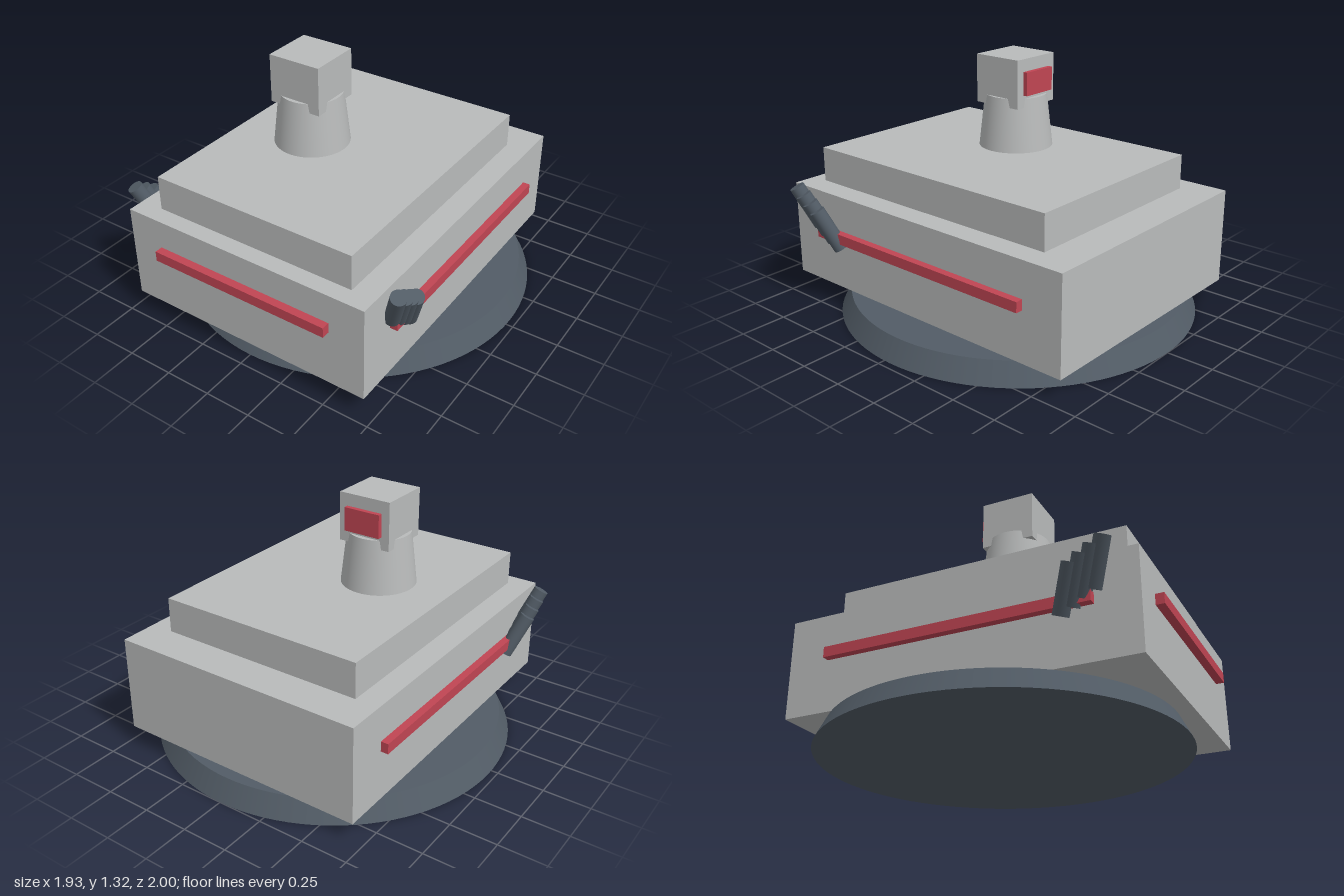
import * as THREE from 'three';

export function createModel() {
  const model = new THREE.Group();
  const material = (name, color) => {
    const m = new THREE.MeshStandardMaterial({ color });
    m.name = name;
    return m;
  };
  const grey = material('light grey', 0xb9bbbb);
  const red = material('red', 0xc04553);
  const slate = material('dark slate', 0x525c66);

  const add = (name, geometry, mat, x, y, z) => {
    const mesh = new THREE.Mesh(geometry, mat);
    mesh.name = name;
    mesh.position.set(x, y, z);
    model.add(mesh);
    return mesh;
  };
  // Box given by its lower and upper corners
  const box = (name, mat, [x0, y0, z0], [x1, y1, z1]) =>
    add(name, new THREE.BoxGeometry(x1 - x0, y1 - y0, z1 - z0), mat,
      (x0 + x1) / 2, (y0 + y1) / 2, (z0 + z1) / 2);

  // Round tapered base
  add('base', new THREE.CylinderGeometry(0.907, 0.963, 0.113, 96), slate, 0, 0.0565, -0.037);

  // Stepped hull
  box('hull', grey, [-0.703, 0.113, -0.88], [0.703, 0.632, 0.957]);
  box('upperDeck', grey, [-0.575, 0.632, -0.677], [0.575, 0.82, 0.865]);

  // Tapered mount with a square sensor head
  add('headMount', new THREE.CylinderGeometry(0.167, 0.2, 0.288, 48), grey, -0.17, 0.964, 0.13);
  box('head', grey, [-0.315, 1.06, -0.01], [-0.02, 1.32, 0.275]);
  box('headPanel', red, [-0.27, 1.128, -0.036], [-0.065, 1.253, -0.01]);

  // Red light strips
  box('frontStrip', red, [-0.51, 0.42, 0.957], [0.51, 0.475, 1.0]);
  for (const side of [1, -1]) {
    const [a, b] = [side * 0.703, side * 0.743].sort((p, q) => p - q);
    box(side > 0 ? 'leftStrip' : 'rightStrip', red, [a, 0.385, -0.655], [b, 0.44, 0.74]);

    // Row of four tilted launcher tubes, stepping down towards the back
    const up = new THREE.Vector3(0, 1, 0);
    const lean = new THREE.Vector3(side * 0.08, 0.212, 0.083);
    const tubeGeometry = new THREE.CylinderGeometry(0.04, 0.04, lean.length(), 24);
    const axis = lean.clone().normalize();
    for (let i = 0; i < 4; i++) {
      const tube = add('launcherTube', tubeGeometry, slate,
        side * 0.755, 0.556 - i * 0.033, 0.784 - i * 0.052);
      tube.quaternion.setFromUnitVectors(up, axis);
    }
  }
  return model;
}
